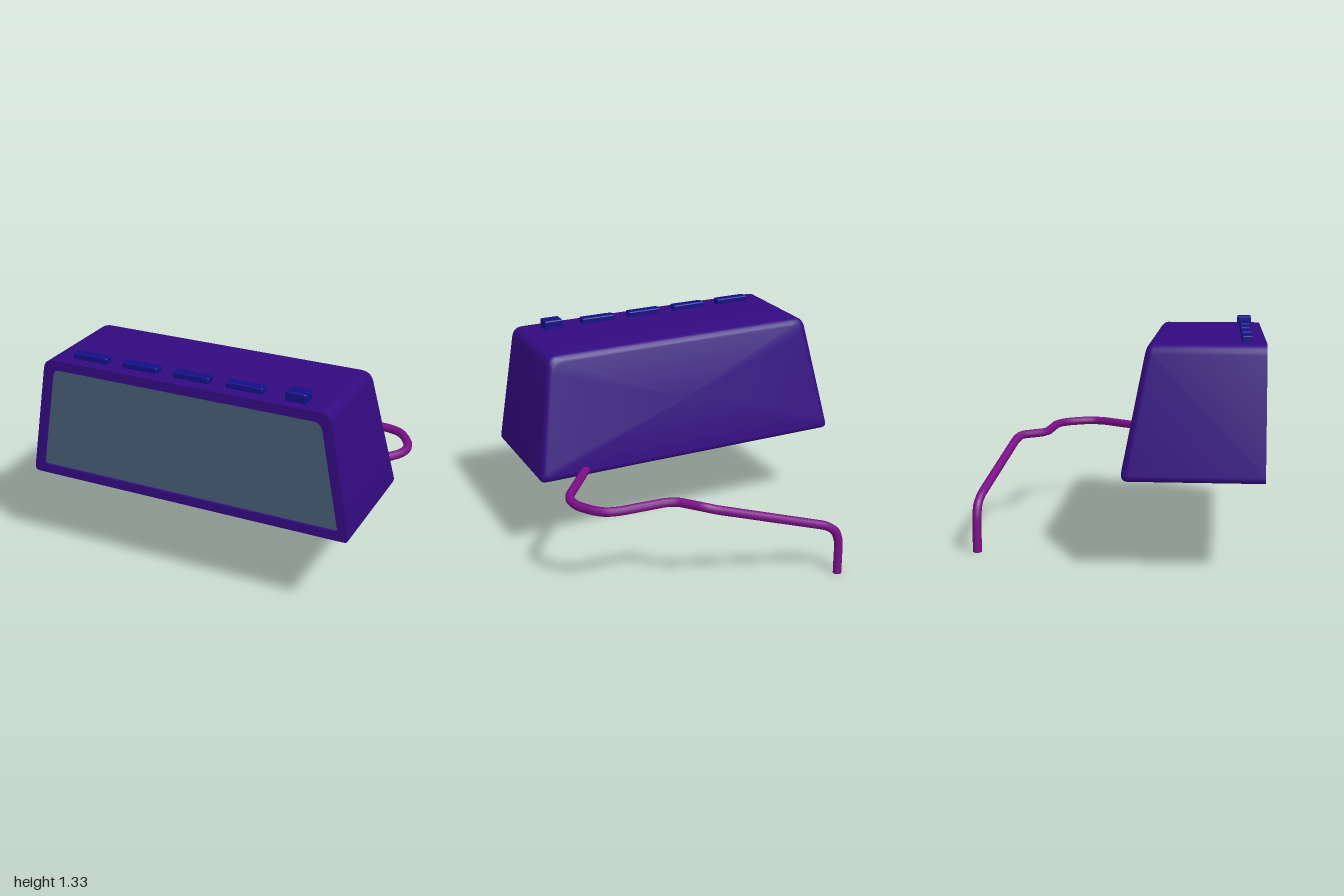
import * as THREE from 'three';
import { toCreasedNormals } from 'three/addons/utils/BufferGeometryUtils.js';
import { RoundedBoxGeometry } from 'three/addons/geometries/RoundedBoxGeometry.js';

const paint = (color) => new THREE.MeshStandardMaterial({ color });

function part(name, geometry, material) {
  const mesh = new THREE.Mesh(geometry, material);
  mesh.name = name;
  return mesh;
}

// Trapezoid outline with rounded corners, counter-clockwise from the front
function trapezoid(wb, yb, wt, yt, rb, rt) {
  const c = [[wb, yb, rb], [wt, yt, rt], [-wt, yt, rt], [-wb, yb, rb]];
  const pts = [];
  c.forEach(([x, y, r], i) => {
    const p = new THREE.Vector2(x, y);
    const toward = (q) => new THREE.Vector2(q[0], q[1]).sub(p).setLength(r).add(p);
    pts.push(...new THREE.QuadraticBezierCurve(toward(c[(i + 3) % 4]), p, toward(c[(i + 1) % 4])).getPoints(6));
  });
  return pts;
}

const outer = (d) => trapezoid(1.004 - d, 0.53 + d, 0.872 - d, 1.27 - d, 0.035, 0.06);
const opening = () => trapezoid(0.936, 0.585, 0.824, 1.212, 0.025, 0.05);
const backZ = (y) => 0.06 + 0.19 * (y - 0.53);

// Hollow-fronted shell with a sloping, softly rounded back
function shellGeometry() {
  const flat = (pts, z) => pts.map((p) => [p.x, p.y, z]);
  const loops = [flat(opening(), 0.825), flat(opening(), 0.85), flat(outer(0), 0.85)];
  const r = 0.04;
  for (let k = 0; k <= 4; k++) {
    const a = (k / 4) * Math.PI / 2;
    loops.push(outer(r * (1 - Math.cos(a))).map((p) => [p.x, p.y, backZ(p.y) + r * (1 - Math.sin(a))]));
  }
  const n = loops[0].length;
  const position = loops.flat(2);
  position.push(0, 0.9, backZ(0.9));
  const centre = loops.length * n;
  const index = [];
  for (let l = 0; l < loops.length; l++) {
    for (let j = 0; j < n; j++) {
      const a = l * n + j, b = l * n + (j + 1) % n;
      if (l === loops.length - 1) index.push(a, centre, b);
      else index.push(a, a + n, b, b, a + n, b + n);
    }
  }
  const g = new THREE.BufferGeometry();
  g.setAttribute('position', new THREE.Float32BufferAttribute(position, 3));
  g.setIndex(index);
  return toCreasedNormals(g, 0.6);
}

// Straight runs joined by small bends
function bentPath(points) {
  const v = points.map((p) => new THREE.Vector3(...p));
  const path = new THREE.CurvePath();
  let from = v[0];
  for (let i = 1; i < v.length - 1; i++) {
    const cut = (q) => v[i].clone().add(q.clone().sub(v[i]).setLength(Math.min(0.03, v[i].distanceTo(q) * 0.4)));
    const a = cut(v[i - 1]), b = cut(v[i + 1]);
    path.add(new THREE.LineCurve3(from, a));
    path.add(new THREE.QuadraticBezierCurve3(a, v[i], b));
    from = b;
  }
  path.add(new THREE.LineCurve3(from, v[v.length - 1]));
  return path;
}

export function createModel() {
  const model = new THREE.Group();
  model.name = 'alarmClock';

  model.add(part('body', shellGeometry(), paint(0x330a80)));

  // Screen set just behind the frame
  const screen = part('screen', new THREE.ShapeGeometry(new THREE.Shape(opening())), paint(0x465c75));
  screen.position.z = 0.835;
  model.add(screen);

  // Four flat buttons and one taller square one
  const buttons = new THREE.Group();
  buttons.name = 'buttons';
  const blue = paint(0x140f85);
  for (let i = 0; i < 4; i++) {
    const button = part('flatButton', new RoundedBoxGeometry(0.22, 0.075, 0.06, 2, 0.008), blue);
    button.position.set(-0.617 + i * 0.321, 1.267, 0.745);
    buttons.add(button);
  }
  const square = part('squareButton', new RoundedBoxGeometry(0.12, 0.09, 0.09, 2, 0.01), blue);
  square.position.set(0.653, 1.28, 0.748);
  buttons.add(square);
  model.add(buttons);

  // Power cord: level behind the body, then hanging down
  const y = 0.565;
  const path = bentPath([
    [0.686, y, 0.12], [0.93, y, -0.21], [0.95, y, -0.28], [0.935, y, -0.36],
    [0.88, y, -0.45], [0.825, y, -0.502], [0.75, y, -0.523], [0.47, y, -0.538],
    [0.405, y, -0.563], [0.37, y, -0.605], [0.3, y, -0.69], [0.235, 0.545, -0.715],
    [-0.45, 0.33, -0.808], [-0.512, 0.285, -0.818], [-0.535, 0.21, -0.82], [-0.535, 0, -0.82],
  ]);
  const cord = new THREE.Group();
  cord.name = 'cord';
  const purple = paint(0x7a0f86);
  cord.add(part('cordWire', new THREE.TubeGeometry(path, 180, 0.027, 10), purple));
  const tip = part('cordEnd', new THREE.CircleGeometry(0.027, 10), purple);
  tip.rotation.x = Math.PI / 2;
  tip.position.set(-0.535, 0, -0.82);
  cord.add(tip);
  model.add(cord);

  return model;
}
